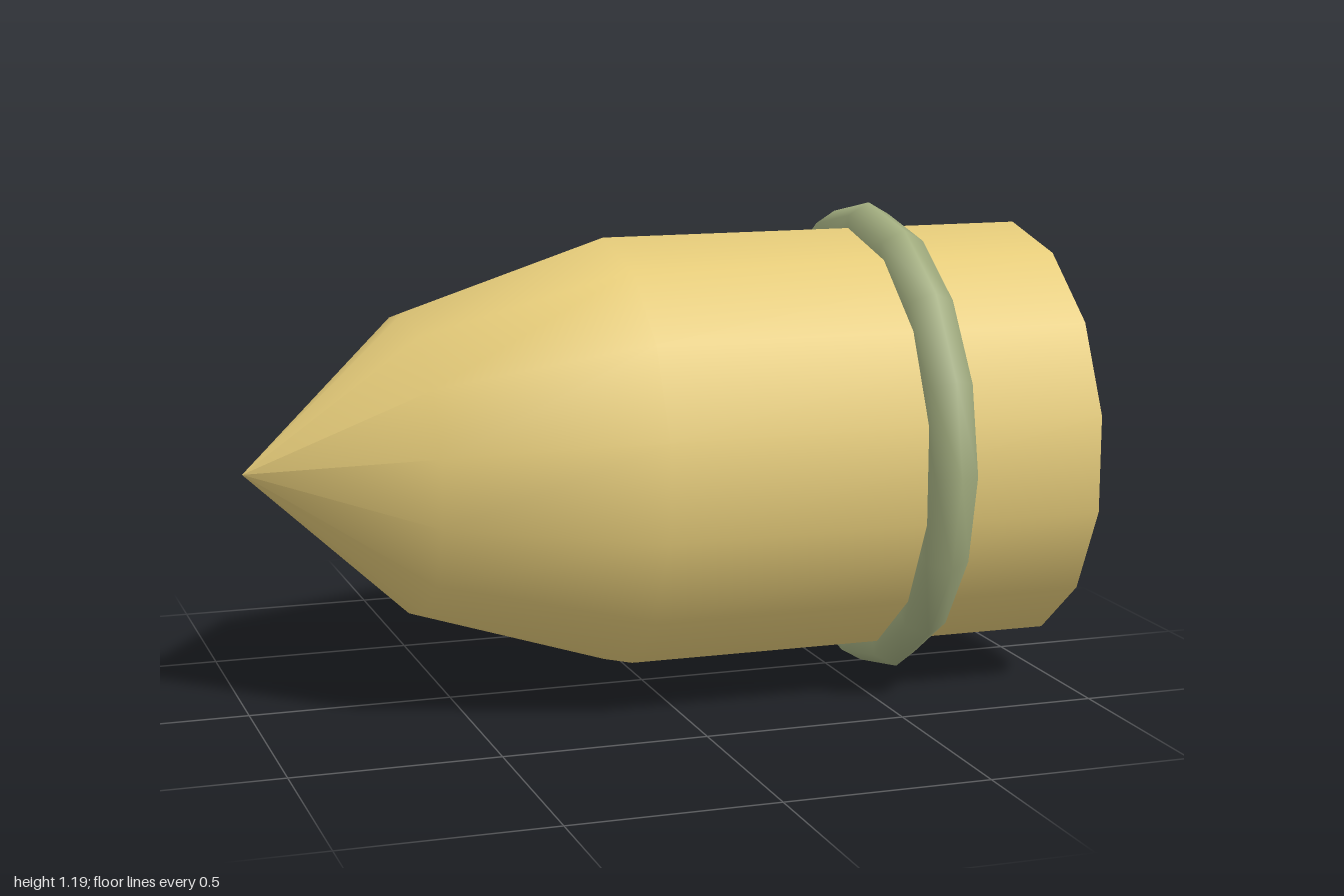
import * as THREE from 'three';

const RADIUS = 0.533;
const SIDES = 14;
const CENTRE_Y = 0.6;

export function createModel() {
  const group = new THREE.Group();
  const shellMaterial = new THREE.MeshStandardMaterial({ color: 0xe6cc7a });
  const bandMaterial = new THREE.MeshStandardMaterial({ color: 0xa3ae80 });

  const add = (name, geometry, material, x) => {
    const mesh = new THREE.Mesh(geometry, material);
    mesh.name = name;
    mesh.position.set(x, CENTRE_Y, 0);
    group.add(mesh);
  };

  // Pointed shell, turned around the x axis with its tip at -x
  const profile = [[0, -1], [0.373, -0.6], [RADIUS, -0.1], [RADIUS, 1]]
    .map(([r, along]) => new THREE.Vector2(r, along));
  const shell = new THREE.LatheGeometry(profile, SIDES, Math.PI / 2);
  shell.rotateZ(-Math.PI / 2);
  add('shell', shell, shellMaterial, 0);

  // Flat base closing the wide end
  const base = new THREE.CircleGeometry(RADIUS, SIDES, Math.PI / 2);
  base.rotateY(Math.PI / 2);
  add('base', base, shellMaterial, 1);

  // Raised band with a hexagonal section
  const band = new THREE.TorusGeometry(RADIUS, 0.063, 6, 16);
  band.rotateY(Math.PI / 2);
  add('band', band, bandMaterial, 0.6);

  return group;
}
